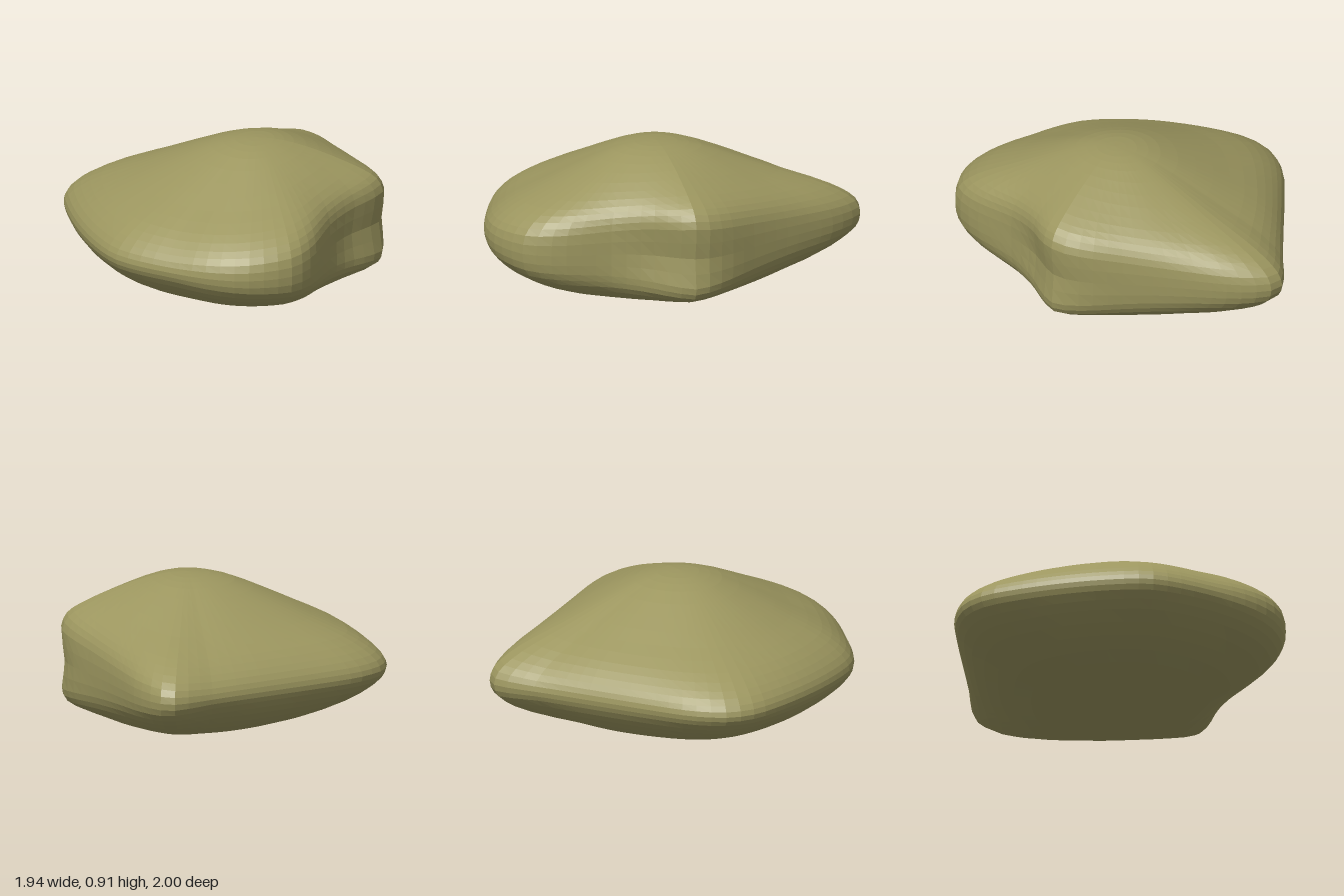
import * as THREE from 'three';

// Plan outline [x, z], running from the back-left corner round past the +x side.
const OUTLINE = [
  [-0.64, -1], [-0.55, -1], [-0.4, -0.97], [-0.2, -0.9], [0, -0.83], [0.2, -0.77], [0.4, -0.72],
  [0.53, -0.67], [0.6, -0.61], [0.64, -0.5], [0.66, -0.35], [0.69, -0.22], [0.74, -0.1], [0.83, 0.03],
  [0.92, 0.17], [0.97, 0.33], [0.94, 0.47], [0.86, 0.62], [0.72, 0.75], [0.5, 0.87], [0.22, 0.98],
  [0.08, 1], [-0.15, 0.96], [-0.4, 0.88], [-0.65, 0.77], [-0.85, 0.65], [-0.94, 0.53], [-0.97, 0.4],
  [-0.97, 0.27], [-0.92, 0], [-0.85, -0.32], [-0.78, -0.65], [-0.74, -0.88], [-0.71, -0.96],
];
// Section profiles [fraction of radius, height], top to bottom.
const WEDGE = [
  [0, 0.907], [0.12, 0.897], [0.25, 0.862], [0.45, 0.77], [0.65, 0.67], [0.82, 0.585], [0.92, 0.515],
  [0.98, 0.45], [1, 0.39], [0.98, 0.33], [0.9, 0.245], [0.75, 0.15], [0.55, 0.07], [0.3, 0.02], [0, 0],
];
const BLUNT = [
  [0, 0.907], [0.14, 0.902], [0.3, 0.88], [0.5, 0.835], [0.7, 0.775], [0.85, 0.72], [0.94, 0.67],
  [0.99, 0.59], [1, 0.4], [0.99, 0.22], [0.95, 0.15], [0.82, 0.1], [0.6, 0.055], [0.3, 0.02], [0, 0],
];
const CX = 0.1, CZ = -0.05; // summit position in plan
const AROUND = 72, RINGS = 28;

const curve = (pts, closed) =>
  new THREE.CatmullRomCurve3(pts.map(([a, b]) => new THREE.Vector3(a, b, 0)), closed);
const bump = (v, centre, width) => Math.exp(-(((v - centre) / width) ** 2));

// Bluntness: full at the back +x corner, fading evenly to the wedge rim.
function bluntness(angle) {
  const d = angle + 48;
  return Math.max(0, 1 - Math.abs(d) / (d < 0 ? 95 : 115));
}

function rockGeometry() {
  const rim = curve(OUTLINE, true).getSpacedPoints(AROUND).slice(0, AROUND);
  const wedge = curve(WEDGE, false).getPoints(RINGS);
  const blunt = curve(BLUNT, false).getPoints(RINGS);
  const radius = rim.map((p) => Math.hypot(p.x - CX, p.y - CZ));
  // Softened radius for the rounder contours near the summit and base
  const soft = radius.map((_, j) => {
    let sum = 0;
    for (let k = -8; k <= 8; k++) sum += radius[(j + k + AROUND) % AROUND];
    return sum / 17;
  });
  const pos = [], index = [];

  for (let i = 0; i <= RINGS; i++) {
    for (let j = 0; j < AROUND; j++) {
      const theta = Math.atan2(rim[j].y - CZ, rim[j].x - CX);
      const angle = THREE.MathUtils.radToDeg(theta);
      const w = bluntness(angle);
      const y = THREE.MathUtils.lerp(wedge[i].y, blunt[i].y, w);
      const f = THREE.MathUtils.lerp(wedge[i].x, blunt[i].x, w);
      // Shallow hollow in the wall beside the blunt corner
      const hollow = 0.065 * bump(angle, -38, 24) * bump(y, 0.39, 0.15) * f ** 4;
      const r = f * THREE.MathUtils.lerp(soft[j], radius[j], f * f) * (1 - hollow);
      pos.push(CX + r * Math.cos(theta), y, CZ + r * Math.sin(theta));
    }
  }
  for (let i = 0; i < RINGS; i++) {
    for (let j = 0; j < AROUND; j++) {
      const k = (j + 1) % AROUND;
      const a = i * AROUND + j, b = i * AROUND + k, c = a + AROUND, d = b + AROUND;
      if (i > 0) index.push(a, b, c);
      if (i < RINGS - 1) index.push(b, d, c);
    }
  }
  const geo = new THREE.BufferGeometry();
  geo.setAttribute('position', new THREE.Float32BufferAttribute(pos, 3));
  geo.setIndex(index);
  geo.computeVertexNormals();
  return geo;
}

export function createModel() {
  const group = new THREE.Group();
  const material = new THREE.MeshStandardMaterial({ color: 0x9c965f, flatShading: true });
  const rock = new THREE.Mesh(rockGeometry(), material);
  rock.name = 'rock';
  group.add(rock);
  return group;
}
